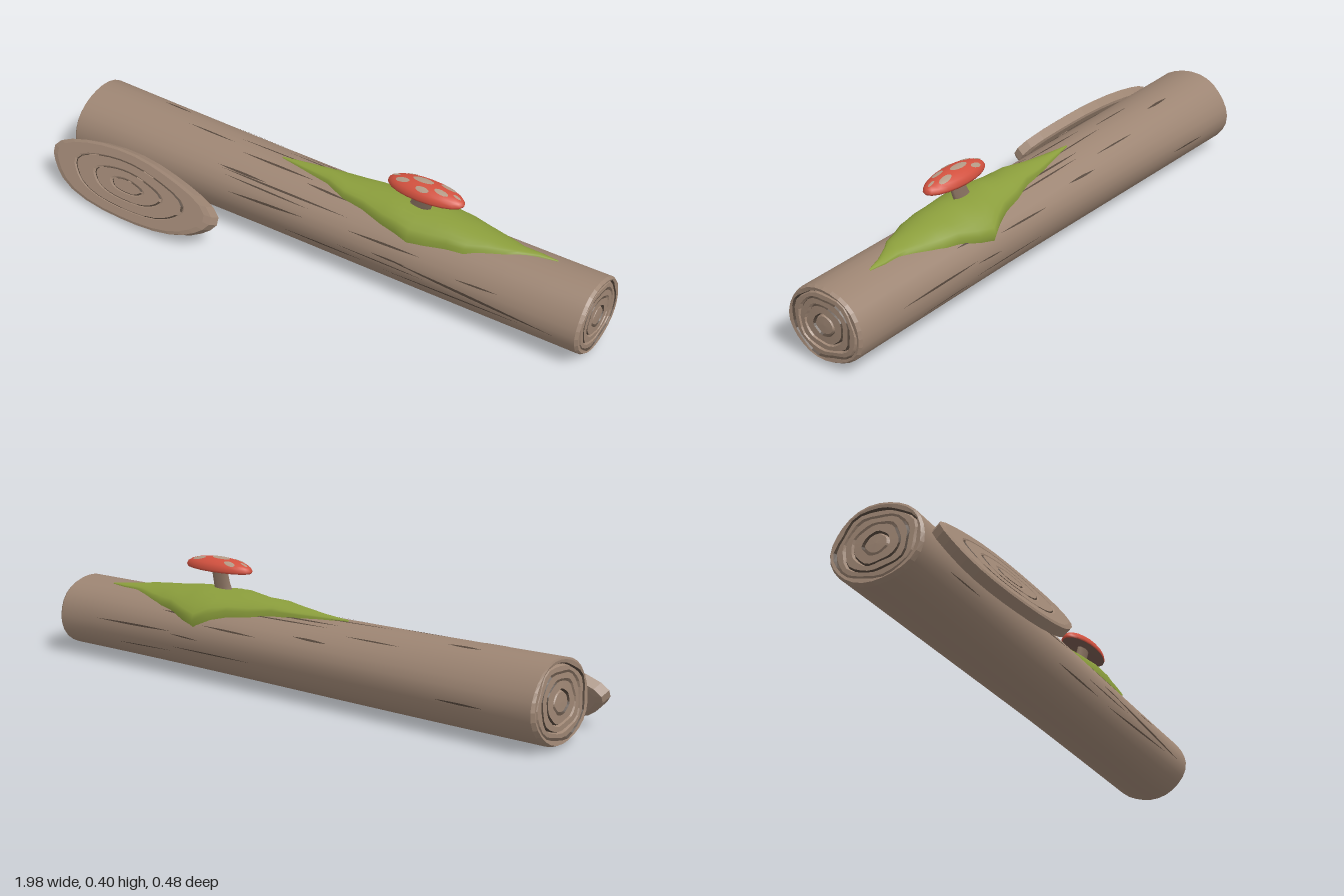
import * as THREE from 'three';

const paint = (name, color) => Object.assign(new THREE.MeshStandardMaterial({ color }), { name });

// Grid surface from fn(u, v) -> [x, y, z]; pick(i, j) chooses the material of each cell
function surface(nu, nv, fn, { closed = true, flat = false, pick = () => 0 } = {}) {
  const pos = [], lists = [[], []], cols = closed ? nv : nv + 1;
  for (let i = 0; i <= nu; i++) for (let j = 0; j < cols; j++) pos.push(...fn(i, j / nv));
  for (let i = 0; i < nu; i++) for (let j = 0; j < nv; j++) {
    const a = i * cols + j, b = i * cols + (j + 1) % cols, c = a + cols, d = b + cols;
    lists[pick(i, j)].push(a, c, d, a, d, b);
  }
  let geo = new THREE.BufferGeometry();
  geo.setAttribute('position', new THREE.Float32BufferAttribute(pos, 3));
  geo.setIndex([...lists[0], ...lists[1]]);
  geo.addGroup(0, lists[0].length, 0);
  if (lists[1].length) geo.addGroup(lists[0].length, lists[1].length, 1);
  if (flat) geo = geo.toNonIndexed();
  geo.computeVertexNormals();
  return geo;
}

// Point on the trunk at length x and angle a, f = radial share, h = height above the bark
const X0 = -0.95, X1 = 0.985, TAU = Math.PI * 2;
function trunk(x, a, f = 1, h = 0) {
  const t = (x - X0) / (X1 - X0), flare = Math.pow(1 - Math.min(1, Math.max(0, t)), 2);
  const w = f * (1 + 0.012 * Math.sin(5 * a + 2 * x) + 0.01 * Math.sin(3 * a - 3 * x));
  const ry = (0.122 + 0.01 * flare) * w + h, rz = (0.14 + 0.015 * flare) * w + h;
  return [x, 0.138 + 0.004 * flare + ry * Math.sin(a), -0.073 - 0.012 * flare + rz * Math.cos(a)];
}

export function createModel() {
  const model = new THREE.Group();
  const wood = paint('wood', 0x9d8573), groove = paint('groove', 0x55473c);
  const moss = paint('moss', 0x8b9e3c), red = paint('capRed', 0xd2513f);
  const spot = paint('capSpot', 0xb39a86), stemBrown = paint('stemBrown', 0x87705f);
  const gill = paint('gill', 0x75594f);
  const add = (name, geo, mat, parent = model) => {
    const mesh = new THREE.Mesh(geo, mat);
    mesh.name = name;
    parent.add(mesh);
    return mesh;
  };

  // Trunk of the log
  add('logBark', surface(14, 28, (i, v) => trunk(X0 + (X1 - X0) * i / 14, v * TAU)), [wood]);

  // Sawn ends: [radial share, x offset], grooves cut between the year rings
  const rings = [[1, 0], [0.95, 0.01], [0.88, 0.008], [0.85, -0.002], [0.82, 0.007], [0.72, 0.008],
    [0.69, -0.002], [0.66, 0.007], [0.53, 0.008], [0.5, -0.002], [0.47, 0.007],
    [0.29, 0.008], [0.26, -0.002], [0.22, 0.007], [0, 0.008]];
  const cut = new Set([2, 6, 9, 11]);
  for (const side of [1, -1]) {
    const n = rings.length - 1, at = i => side > 0 ? i : n - i;
    const geo = surface(n, 28, (i, v) => {
      const [f, d] = rings[at(i)], x = side > 0 ? X1 : X0, a = v * TAU;
      const wob = f < 0.9 ? 1 + 0.03 * Math.sin(4 * a + 7 * f) + 0.02 * Math.sin(7 * a - 9 * f) : 1;
      const p = trunk(x, a, f * wob);
      p[0] += side * d + (side < 0 ? 0.008 * (p[1] - 0.14) / 0.13 : 0) * Math.min(1, (1 - f) * 20);
      return p;
    }, { flat: true, pick: i => cut.has(side > 0 ? i : n - 1 - i) ? 1 : 0 });
    add(side > 0 ? 'leftEnd' : 'rightEnd', geo, [wood, groove]);
  }

  // Cracks in the bark: thin lens-shaped strips [x, angle, length, half width, slant]
  const cracks = [[0.62, 0.0, 0.6, 0.04, -0.3], [0.55, -0.25, 0.5, 0.025, 0.1], [-0.1, 0.75, 0.5, 0.025, 0],
    [-0.15, 0.3, 0.3, 0.03, 0.1], [-0.65, 1.9, 0.12, 0.03, 0]];
  let seed = 7;
  const rand = () => (seed = (seed * 16807) % 2147483647) / 2147483647;
  for (let k = 0; k < 24; k++) {
    cracks.push([-0.7 + 1.45 * rand(), -0.5 + 4.2 * (k + rand()) / 24, 0.12 + 0.26 * rand(),
      0.014 + 0.014 * rand(), 0.1 * (rand() - 0.5)]);
  }
  const barkCracks = new THREE.Group();
  barkCracks.name = 'barkCracks';
  model.add(barkCracks);
  for (const [x, a, len, w, slant] of cracks) {
    add('crack', surface(10, 2, (i, v) => {
      const u = i / 10 - 0.5, half = w * Math.cos(u * Math.PI);
      return trunk(x + u * len, a + slant * u + half * (v * 2 - 1), 1, 0.0015);
    }, { closed: false }), groove, barkCracks);
  }

  // Moss cushion draped over the trunk: [x, front z, back z, thickness]
  const cushion = [[-0.18, -0.078, -0.084, 0.004], [-0.08, -0.062, -0.105, 0.012], [0.02, -0.045, -0.125, 0.022],
    [0.1, -0.015, -0.135, 0.027], [0.18, -0.005, -0.158, 0.032], [0.26, 0.015, -0.172, 0.037],
    [0.32, 0.024, -0.19, 0.038], [0.37, 0.034, -0.207, 0.037], [0.43, 0.026, -0.198, 0.035],
    [0.5, 0.014, -0.18, 0.03], [0.56, 0.008, -0.17, 0.024], [0.62, -0.018, -0.152, 0.017],
    [0.68, -0.04, -0.132, 0.012], [0.71, -0.06, -0.122, 0.009], [0.77, -0.088, -0.12, 0.007],
    [0.83, -0.106, -0.112, 0.003]];
  add('moss', surface(cushion.length - 1, 14, (i, v) => {
    const [x, zf, zb, h] = cushion[i], s = 2 * v - 1;
    const angle = z => Math.acos(Math.max(-1, Math.min(1, (z + 0.075) / 0.142)));
    const a = THREE.MathUtils.lerp(angle(zf), angle(zb), v);
    const lump = 1 + 0.08 * Math.sin(9 * v + 2.1 * i);
    return trunk(x, a, 1, -0.004 + (h + 0.004) * lump * Math.pow(1 - s * s, 0.4));
  }, { closed: false }), moss);

  // Mushroom
  const mushroom = new THREE.Group();
  mushroom.name = 'mushroom';
  model.add(mushroom);
  add('mushroomStem', surface(6, 10, (i, v) => {
    const t = i / 6, a = v * TAU, r = 1.15 - 0.45 * t + 0.3 * t * t;
    return [0.335 + 0.045 * Math.sqrt(t) + 0.036 * r * Math.cos(a), 0.275 + 0.095 * t,
      -0.072 + 0.01 * t + 0.0125 * r * Math.sin(a)];
  }), stemBrown, mushroom);

  const dome = (px, pz, lift = 0) => [0.38 + 0.138 * px,
    0.364 + 0.035 * Math.sqrt(Math.max(0, 1 - px * px - pz * pz)) + lift, -0.062 + 0.052 * pz];
  // Dome from the crown out to the rim, then back in under the cap
  const capRows = [0, 0.25, 0.5, 0.7, 0.85, 0.95, 1, 0.97, 0.6, 0.2];
  const under = { 7: 0.357, 8: 0.362, 9: 0.365 };
  add('mushroomCap', surface(capRows.length - 1, 20, (i, v) => {
    const r = capRows[i], p = dome(r * Math.cos(v * TAU), -r * Math.sin(v * TAU));
    if (under[i]) p[1] = under[i];
    return p;
  }, { pick: i => i >= 7 ? 1 : 0 }), [red, gill], mushroom);
  for (const [px, pz, r] of [[-0.1, -0.1, 0.27], [0.45, 0.3, 0.18], [-0.55, 0.35, 0.18], [0.5, -0.4, 0.2],
    [-0.5, -0.55, 0.16], [0.02, 0.62, 0.17], [0.8, 0.0, 0.1], [-0.8, -0.05, 0.11]]) {
    add('capSpot', surface(3, 12, (i, v) => {
      const q = r * i / 3;
      return dome(px + q * Math.cos(v * TAU), pz - q * Math.sin(v * TAU), 0.0015);
    }), spot, mushroom);
  }

  // Oval slice leaning on the log: [radial share, depth from the middle]
  const faceRows = [[0, 1], [0.17, 1], [0.19, 0.88], [0.22, 1], [0.4, 1], [0.42, 0.88], [0.445, 1],
    [0.66, 1], [0.68, 0.88], [0.7, 1], [0.93, 1], [1, 0.8]];
  const slab = [...faceRows, ...faceRows.map(([f, t]) => [f, -t]).reverse()];
  const last = slab.length - 1, dark = new Set([1, 4, 7]);
  add('slice', surface(last, 28, (i, v) => {
    const [f, t] = slab[i], a = v * TAU;
    const wob = 1 + 0.025 * Math.sin(3 * a + 1) + 0.02 * Math.sin(5 * a);
    const c = f * wob * Math.cos(a), s = f * wob * Math.sin(a);
    return [-0.635 + 0.355 * c - 0.006 * t, 0.11 + 0.006 * c + 0.098 * s + 0.01 * t,
      0.161 + 0.026 * c - 0.055 * s + 0.018 * t];
  }, {
    flat: true,
    pick: (i, j) => (dark.has(i) || dark.has(last - 1 - i)) && (j * 5 + i) % 28 > 5 ? 1 : 0,
  }), [wood, groove]);

  return model;
}
